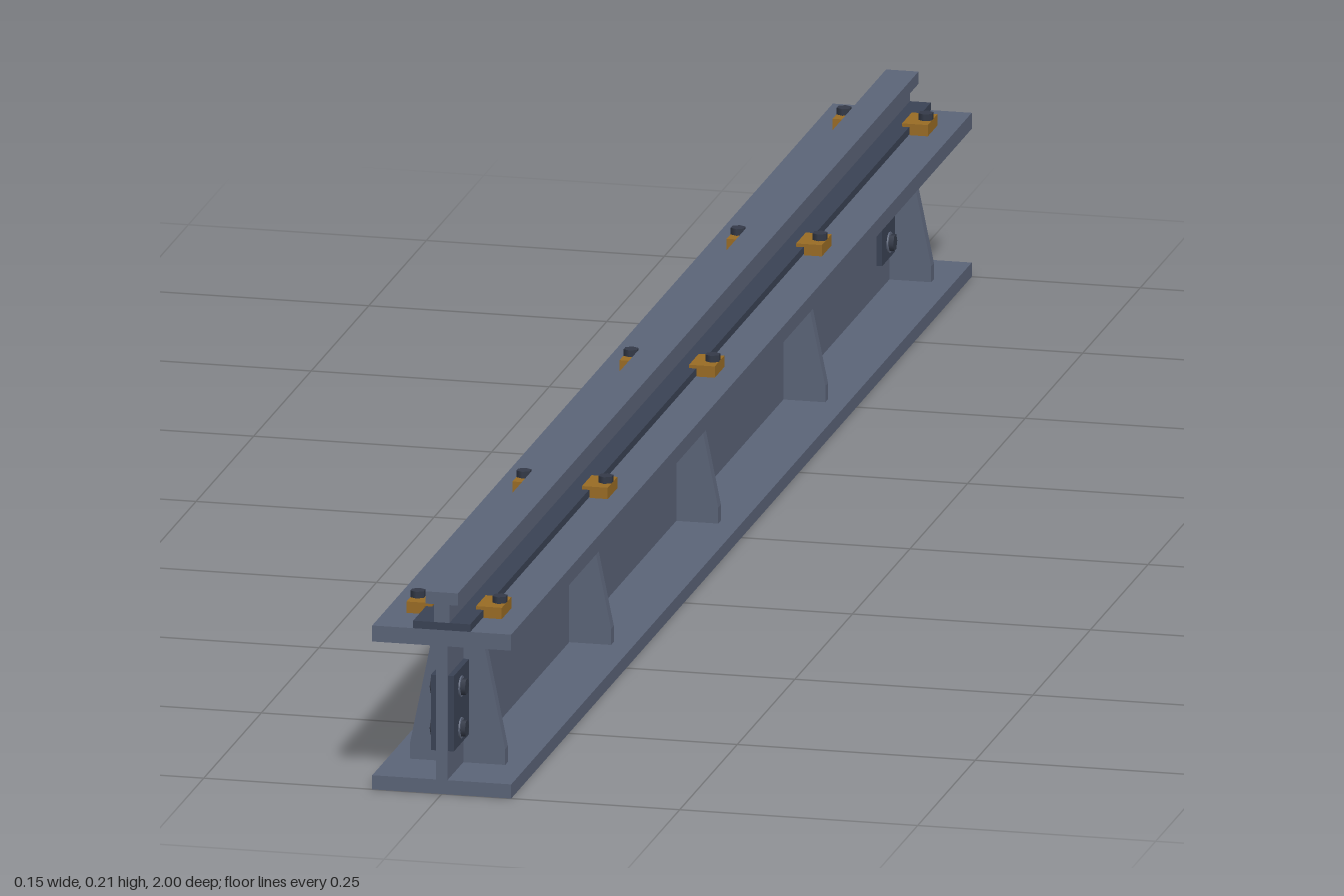
import * as THREE from 'three';

const mat = (name, color) => {
  const m = new THREE.MeshStandardMaterial({ color });
  m.name = name;
  return m;
};

export function createModel() {
  const steel = mat('blue grey steel', 0x5b6478);
  const dark = mat('dark steel', 0x3a4254);
  const boltMat = mat('bolt steel', 0x343a48);
  const ochre = mat('ochre clip', 0x996c24);
  const model = new THREE.Group();
  model.name = 'craneRunwayBeam';

  const add = (parent, name, geometry, material, x = 0, y = 0, z = 0) => {
    const mesh = new THREE.Mesh(geometry, material);
    mesh.name = name;
    mesh.position.set(x, y, z);
    parent.add(mesh);
    return mesh;
  };
  // Box given by its x and y limits, centred on z
  const box = (parent, name, material, x0, x1, y0, y1, z, depth) =>
    add(parent, name, new THREE.BoxGeometry(x1 - x0, y1 - y0, depth), material,
      (x0 + x1) / 2, (y0 + y1) / 2, z);
  // Cross-section extruded along z
  const extrude = (points, depth) => {
    const shape = new THREE.Shape(points.map(([x, y]) => new THREE.Vector2(x, y)));
    return new THREE.ExtrudeGeometry(shape, { depth, bevelEnabled: false })
      .translate(0, 0, -depth / 2);
  };
  const mirrored = (half) => [...half, ...half.map(([x, y]) => [-x, y]).reverse()];

  // I-beam and rail
  add(model, 'beam', extrude(mirrored([
    [0.073, 0], [0.073, 0.015], [0.006, 0.015],
    [0.006, 0.157], [0.073, 0.157], [0.073, 0.174],
  ]), 2), steel);
  box(model, 'railBase', dark, -0.03, 0.03, 0.174, 0.182, 0, 2);
  add(model, 'rail', extrude(mirrored([
    [0.008, 0.182], [0.008, 0.201], [0.017, 0.201], [0.017, 0.214],
  ]), 2), steel);

  // Shared shapes for the fittings, made for the +x side
  const stiffener = extrude([
    [0.006, 0.015], [0.05, 0.015], [0.05, 0.032],
    [0.028, 0.14], [0.028, 0.157], [0.006, 0.157],
  ], 0.012);
  const clip = extrude([
    [0.031, 0.174], [0.05, 0.174], [0.05, 0.186],
    [0.023, 0.186], [0.023, 0.1825], [0.031, 0.1825],
  ], 0.042);
  const clipBolt = new THREE.CylinderGeometry(0.008, 0.008, 0.008, 6);
  const washer = new THREE.CylinderGeometry(0.011, 0.011, 0.002, 16).rotateZ(Math.PI / 2);
  const plateBolt = new THREE.CylinderGeometry(0.009, 0.009, 0.006, 6).rotateZ(Math.PI / 2);

  for (const turn of [0, Math.PI]) {
    const side = new THREE.Group();
    side.name = turn ? 'rightFittings' : 'leftFittings';
    side.rotation.y = turn;
    model.add(side);

    // Web stiffeners and rail clips
    for (const z of [-0.925, -0.465, 0, 0.465, 0.925]) {
      add(side, 'stiffener', stiffener, steel, 0, 0, z);
      add(side, 'railClip', clip, ochre, 0, 0, z);
      add(side, 'clipBolt', clipBolt, boltMat, 0.043, 0.189, z);
    }

    // Bolted splice plates at both ends of the web
    for (const end of [-1, 1]) {
      box(side, 'splicePlate', dark, 0.006, 0.012, 0.045, 0.125, end * 0.93, 0.134);
      for (const z of [0.893, 0.967]) {
        for (const y of [0.062, 0.106]) {
          add(side, 'washer', washer, steel, 0.0125, y, end * z);
          add(side, 'spliceBolt', plateBolt, boltMat, 0.0155, y, end * z);
        }
      }
    }
  }
  return model;
}
